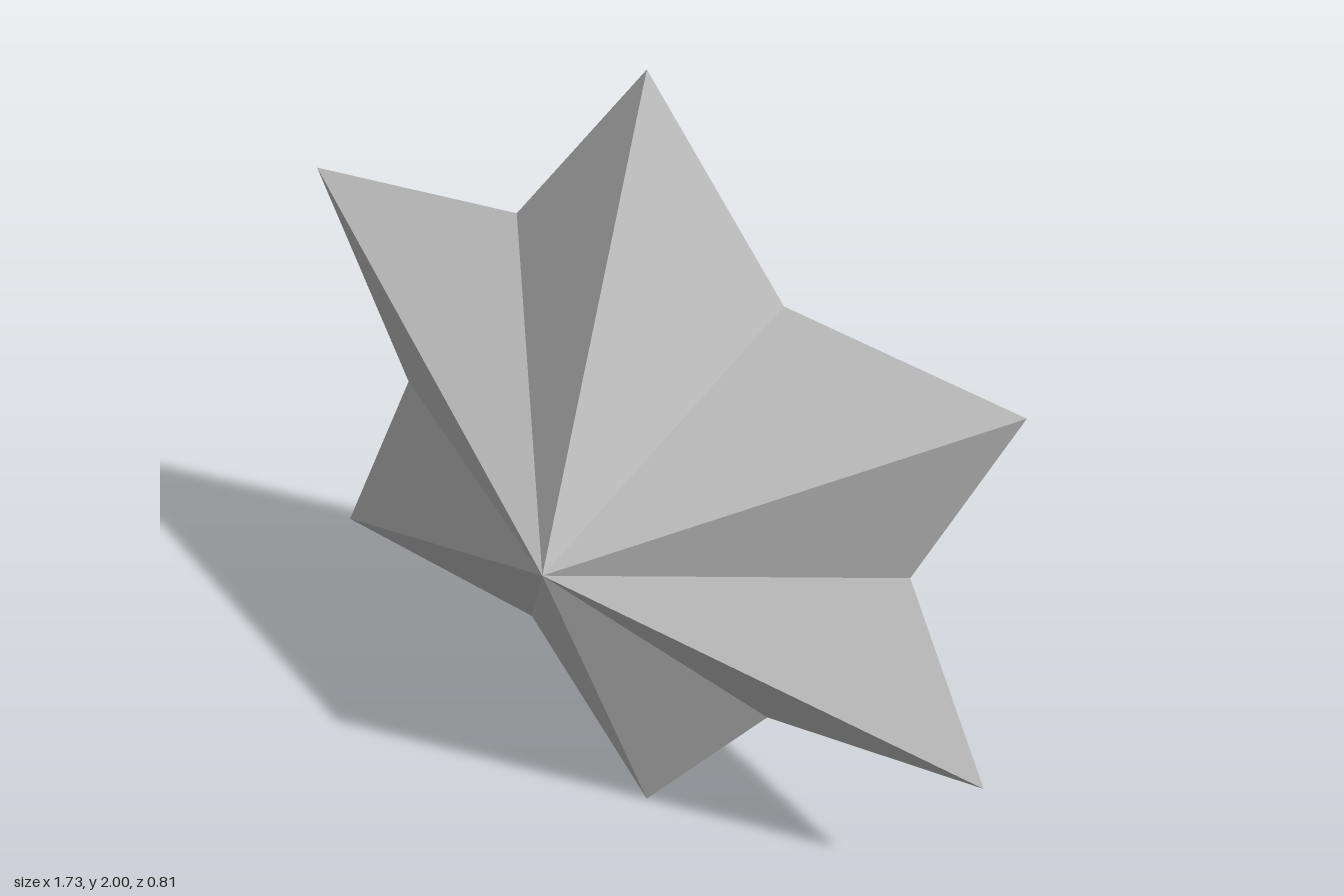
import * as THREE from 'three';

const POINTS = 6, OUTER = 1, INNER = 0.65, DEPTH = 0.405;

// Rim corner i, alternating tip and notch, starting from the top tip
function rim(i) {
  const a = Math.PI / 2 + (i * Math.PI) / POINTS;
  const r = i % 2 === 0 ? OUTER : INNER;
  return [r * Math.cos(a), r * Math.sin(a), 0];
}

// Faceted star: each rim edge joins the front and the back apex
function starGeometry() {
  const front = [0, 0, DEPTH], back = [0, 0, -DEPTH];
  const positions = [];
  for (let i = 0; i < POINTS * 2; i++) {
    const a = rim(i), b = rim(i + 1);
    positions.push(...front, ...a, ...b);
    positions.push(...back, ...b, ...a);
  }
  const geometry = new THREE.BufferGeometry();
  geometry.setAttribute('position', new THREE.Float32BufferAttribute(positions, 3));
  geometry.computeVertexNormals();
  return geometry;
}

export function createModel() {
  const group = new THREE.Group();
  group.name = 'sixPointedStar';
  const material = new THREE.MeshStandardMaterial({ color: 0xcccccc, flatShading: true });
  const star = new THREE.Mesh(starGeometry(), material);
  star.name = 'star';
  star.position.y = OUTER; // bottom tip rests on y = 0
  group.add(star);
  return group;
}
